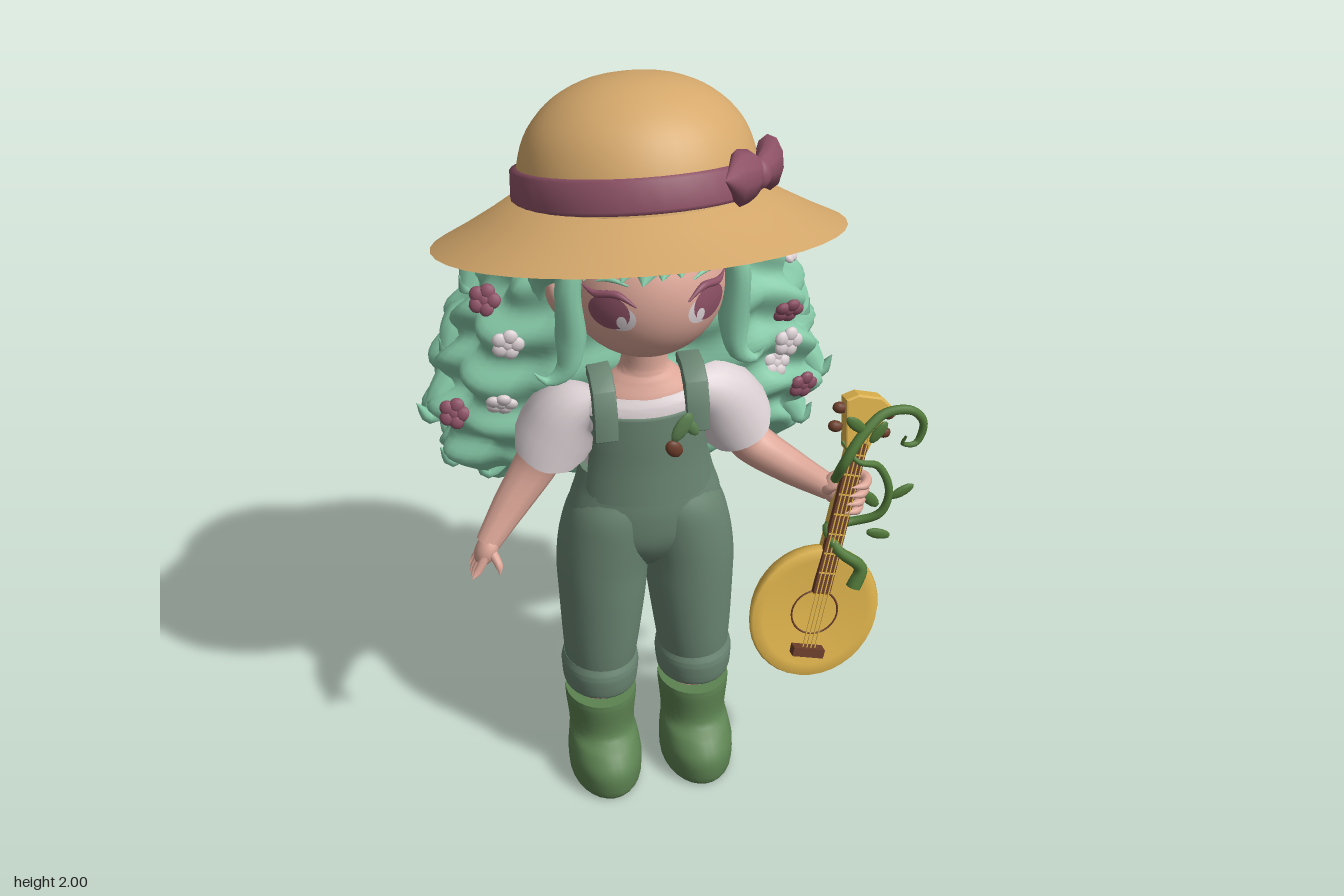
import * as THREE from 'three';
import { toCreasedNormals } from 'three/addons/utils/BufferGeometryUtils.js';

const CX = -0.08; // centre line of the figure
const V = (x, y, z) => new THREE.Vector3(x, y, z);
const V2 = p => new THREE.Vector2(...p);
const paint = (name, color, side = THREE.FrontSide) => {
  const m = new THREE.MeshStandardMaterial({ color, side });
  m.name = name;
  return m;
};

// Closed skin through rows [y, cx, cz, rx, rz], given from bottom to top
function loft(rows, sides = 28, steps = 24, warp = null, crease = 0.9) {
  const mid = new THREE.CatmullRomCurve3(rows.map(r => V(r[1], r[0], r[2])), false, 'catmullrom');
  const rad = new THREE.CatmullRomCurve3(rows.map(r => V(r[3], r[4], 0)), false, 'catmullrom');
  const pos = [], idx = [];
  for (let i = -1; i <= steps + 1; i++) {
    const t = Math.min(1, Math.max(0, i / steps)), c = mid.getPoint(t), r = rad.getPoint(t);
    if (i < 0 || i > steps) r.set(0, 0, 0);
    for (let j = 0; j < sides; j++) {
      const a = j / sides * Math.PI * 2;
      const p = V(Math.sin(a) * r.x, 0, Math.cos(a) * r.y);
      if (warp) warp(p, a, c.y, t);
      pos.push(c.x + p.x, c.y + p.y, c.z + p.z);
    }
  }
  for (let i = 0; i < steps + 2; i++) for (let j = 0; j < sides; j++) {
    const k = (j + 1) % sides, a = i * sides + j, b = i * sides + k;
    idx.push(a, b, a + sides, b, b + sides, a + sides);
  }
  const g = new THREE.BufferGeometry();
  g.setAttribute('position', new THREE.Float32BufferAttribute(pos, 3));
  g.setIndex(idx);
  g.computeVertexNormals();
  return toCreasedNormals(g, crease);
}

// Tube whose radius follows a list of values; flat scales it along z
function sweep(points, radii, flat = 1, seg = 24, sides = 10) {
  const curve = new THREE.CatmullRomCurve3(points.map(p => V(...p)));
  const g = new THREE.TubeGeometry(curve, seg, 1, sides);
  const p = g.attributes.position, n = g.attributes.normal;
  for (let i = 0; i <= seg; i++) {
    const c = curve.getPointAt(i / seg), f = i / seg * (radii.length - 1);
    const k = Math.min(radii.length - 2, Math.floor(f));
    const r = THREE.MathUtils.lerp(radii[k], radii[k + 1], f - k);
    for (let j = 0; j <= sides; j++) {
      const q = i * (sides + 1) + j;
      p.setXYZ(q, c.x + n.getX(q) * r, c.y + n.getY(q) * r, c.z + n.getZ(q) * r * flat);
    }
  }
  g.computeBoundingSphere();
  return g;
}

export function createModel() {
  const M = {
    straw: paint('straw', 0xd6a96c, THREE.DoubleSide), plum: paint('plum', 0x8e5266),
    mint: paint('mint', 0x88ccaa), skin: paint('skin', 0xdea899),
    denim: paint('sage denim', 0x698471, THREE.DoubleSide), boot: paint('boot green', 0x5d8352),
    white: paint('off white', 0xded3d6), gold: paint('gold wood', 0xddb24c),
    brown: paint('dark wood', 0x6b3d2a), vine: paint('vine green', 0x527a3a)
  };
  const root = new THREE.Group();
  const add = (name, geo, mat, parent = root) => {
    const m = new THREE.Mesh(geo, mat);
    m.name = name;
    parent.add(m);
    return m;
  };
  const ball = (name, mat, p, s, parent = root, seg = 20) => {
    const m = add(name, new THREE.SphereGeometry(1, seg, Math.ceil(seg * 0.7)), mat, parent);
    m.position.set(...p);
    m.scale.set(...s);
    return m;
  };
  const group = (name, p, parent = root) => {
    const g = new THREE.Group();
    g.name = name;
    g.position.set(...p);
    parent.add(g);
    return g;
  };

  // Head and face
  ball('head', M.skin, [CX, 1.535, 0.055], [0.2, 0.205, 0.212], root, 40);
  add('neck', loft([[1.15, CX, 0.05, 0.13, 0.098], [1.215, CX, 0.05, 0.125, 0.082],
    [1.255, CX, 0.05, 0.085, 0.066], [1.29, CX, 0.05, 0.058, 0.056], [1.4, CX, 0.06, 0.055, 0.055]]), M.skin);
  const faceZ = (x, y) => 0.055 + 0.212 * Math.sqrt(Math.max(0, 1 - ((x - CX) / 0.2) ** 2 - ((y - 1.535) / 0.205) ** 2));
  const patch = (name, mat, x, y, rx, ry, lift) => {
    const g = new THREE.RingGeometry(0, 1, 24, 5), p = g.attributes.position;
    for (let i = 0; i < p.count; i++) {
      const px = x + p.getX(i) * rx, py = y + p.getY(i) * ry;
      p.setXYZ(i, px, py, faceZ(px, py) + lift);
    }
    g.computeVertexNormals();
    add(name, g, mat);
  };
  for (const s of [-1, 1]) {
    const X = d => CX + s * d, on = (d, y) => [X(d), y, faceZ(X(d), y) + 0.004];
    ball('ear', M.skin, [X(0.205), 1.49, 0.05], [0.03, 0.058, 0.042]).rotation.z = -s * 0.25;
    patch('eyeWhite', M.white, X(0.095), 1.515, 0.034, 0.034, 0.003);
    patch('iris', M.plum, X(0.117), 1.527, 0.042, 0.044, 0.005);
    patch('eyeGlint', M.white, X(0.093), 1.508, 0.011, 0.017, 0.007);
    add('eyelash', sweep([on(0.06, 1.55), on(0.1, 1.575), on(0.145, 1.567), on(0.17, 1.575)], [0.002, 0.009, 0.009, 0.001]), M.plum);
    add('eyebrow', sweep([on(0.075, 1.598), on(0.11, 1.606), on(0.14, 1.596)], [0.002, 0.006, 0.002]), M.mint);
  }

  // Long wavy hair
  const hairRows = [[0.83, CX, -0.22, 0.35, 0.09], [0.88, CX, -0.23, 0.43, 0.16], [0.98, CX, -0.225, 0.475, 0.2],
    [1.1, CX, -0.22, 0.49, 0.23], [1.22, CX, -0.195, 0.465, 0.22], [1.35, CX, -0.16, 0.43, 0.2],
    [1.47, CX, -0.12, 0.38, 0.16], [1.58, CX, -0.1, 0.27, 0.14], [1.7, CX, -0.08, 0.18, 0.1]];
  const hair = add('longHair', loft(hairRows, 96, 64, (p, a, y, t) => {
    const boxy = 1 + (Math.cos(a) > 0 ? 0.13 : 0.02) * Math.sin(2 * a) ** 2;
    const tier = 0.05 * Math.sin(42 * y + 1.2 * Math.sin(7 * a));
    const strand = 0.08 * Math.abs(Math.sin(7 * a + 1.2 * Math.sin(6 * y))) - 0.04;
    p.multiplyScalar(boxy * (1 + tier + strand));
    p.y = (0.03 + 0.03 * Math.cos(9 * a) + 0.025 * Math.cos(a)) * (1 - t) ** 3;
  }, 1.2), M.mint);
  ball('hairCap', M.mint, [CX, 1.56, -0.02], [0.225, 0.23, 0.225], root, 32);
  for (const s of [-1, 1]) {
    const L = (name, pts, r, flat) => add(name, sweep(pts.map(([d, y, z]) => [CX + s * d, y, z]), r, flat), M.mint);
    L('sideLock', [[0.16, 1.71, 0.14], [0.2, 1.58, 0.165], [0.197, 1.43, 0.155], [0.21, 1.345, 0.15], [0.255, 1.31, 0.14], [0.285, 1.335, 0.135]],
      [0.03, 0.03, 0.031, 0.038, 0.024, 0.001], 1.25);
    L('templeLock', [[0.18, 1.7, 0.09], [0.225, 1.62, 0.1], [0.235, 1.54, 0.03], [0.25, 1.4, -0.03]], [0.02, 0.045, 0.035, 0.01]);
    // Curled tips along the outline
    for (const [x, y, dx] of [[0.37, 1.47, 0.05], [0.43, 1.3, 0.05], [0.47, 1.12, 0.08], [0.43, 0.98, 0.07], [0.34, 0.93, 0.07]])
      L('curlTip', [[x - 0.08, y + 0.1, -0.17], [x, y + 0.02, -0.15], [x + dx * 0.6, y - 0.04, -0.14], [x + dx, y, -0.14]], [0.03, 0.055, 0.035, 0.001]);
  }
  // Fringe: a close cap over the brow under broad overlapping locks
  const fringeBase = add('fringeBase', new THREE.SphereGeometry(1, 40, 12, 0, Math.PI * 2, 0, 1.13), M.mint);
  fringeBase.position.set(CX, 1.535, 0.055);
  fringeBase.scale.set(0.207, 0.212, 0.22);
  [[-0.15, -0.19, 1.56], [-0.12, -0.165, 1.585], [-0.08, -0.13, 1.605], [-0.04, -0.09, 1.605], [0, -0.045, 1.6], [0.03, 0, 1.61],
    [0.05, 0.045, 1.61], [0.08, 0.11, 1.615], [0.12, 0.16, 1.59], [0.15, 0.19, 1.55]].forEach(([a, b, y]) => {
    const at = (d, h) => [CX + d, h, faceZ(CX + d, h) + 0.008];
    add('fringe', sweep([at(a * 0.8, 1.725), at(a, 1.69), at((a + b) / 2, 1.655), at(b, y)], [0.04, 0.048, 0.048, 0.04, 0.001], 0.45), M.mint);
  });

  // Flowers set on the hair
  const flower = (mat, p, n) => {
    const g = group('flower', p);
    g.lookAt(V(...p).add(n));
    for (let i = 0; i < 5; i++) {
      const a = i * Math.PI * 0.4;
      ball('petal', mat, [Math.cos(a) * 0.022, Math.sin(a) * 0.022, 0.01], [0.02, 0.02, 0.012], g, 10);
    }
    ball('flowerCentre', mat, [0, 0, 0.012], [0.016, 0.016, 0.009], g, 8);
  };
  const ray = new THREE.Raycaster();
  for (const [x, y, m] of [[-0.45, 1.45, 'plum'], [-0.54, 1.12, 'plum'], [-0.43, 1.18, 'white'], [-0.41, 1.36, 'white'],
    [0.3, 1.35, 'plum'], [0.31, 1.46, 'white'], [0.28, 1.18, 'white'], [0.3, 1.26, 'white'], [0.36, 1.1, 'plum']]) {
    ray.set(V(x, y, 2), V(0, 0, -1));
    const hit = ray.intersectObject(hair)[0];
    flower(M[m], [x, y, hit ? hit.point.z : -0.08], hit ? hit.face.normal : V(Math.sign(x), 0, 1));
  }
  flower(M.plum, [0.12, 1.66, 0.215], V(0.5, 0, 1));
  flower(M.plum, [-0.33, 1.66, 0.13], V(-0.8, 0, 1));
  flower(M.white, [0.18, 1.61, 0.12], V(1, 0, 0.4));

  // Sun hat, tipped back
  const hat = group('sunHat', [CX, 1.72, -0.025]);
  hat.rotation.x = -0.27;
  hat.scale.z = 0.97;
  const lathe = (pts, n = 40) => new THREE.LatheGeometry(pts.map(V2), n);
  add('brim', lathe([[0.495, -0.115], [0.43, -0.083], [0.36, -0.045], [0.29, -0.003], [0.25, 0.005]]), M.straw, hat);
  const top = group('hatTop', [0, 0, 0.033], hat);
  const dome = new THREE.SplineCurve([[0.288, -0.025], [0.28, 0.07], [0.25, 0.15], [0.187, 0.215], [0.1, 0.255], [0, 0.268]].map(V2));
  add('crown', new THREE.LatheGeometry(dome.getPoints(20), 40), M.straw, top);
  add('hatBand', lathe([[0.289, -0.016], [0.3, -0.006], [0.297, 0.06], [0.278, 0.066]]), M.plum, top);
  const bow = group('bow', [0.23, 0.034, 0.168], top);
  bow.rotation.y = 1.0;
  for (const s of [-1, 1]) {
    const g = sweep([[0, 0, 0.01], [s * 0.05, 0.005, 0.02], [s * 0.11, 0.008, 0.008], [s * 0.148, 0.008, -0.01]], [0.024, 0.045, 0.06, 0.064, 0.001], 0.5);
    add('bowLoop', g, M.plum, bow);
  }
  ball('bowKnot', M.plum, [0, 0, 0.02], [0.03, 0.036, 0.028], bow);

  // Shirt and overalls
  add('shirt', loft([[0.9, CX, 0.045, 0.16, 0.105], [1.05, CX, 0.045, 0.15, 0.105], [1.13, CX, 0.045, 0.175, 0.105], [1.19, CX, 0.045, 0.175, 0.098], [1.22, CX, 0.045, 0.14, 0.085]]), M.white);
  add('waist', loft([[0.7, CX, 0.045, 0.06, 0.06], [0.74, CX, 0.042, 0.12, 0.095], [0.8, CX, 0.042, 0.195, 0.122], [0.88, CX, 0.045, 0.2, 0.125],
    [0.95, CX, 0.045, 0.18, 0.12], [1.0, CX, 0.045, 0.168, 0.116]]), M.denim);
  const bibProfile = [[0.18, 0.93], [0.172, 1.0], [0.165, 1.07], [0.168, 1.175], [0.155, 1.18]].map(V2);
  const bib = add('bib', new THREE.LatheGeometry(bibProfile, 24, -1.15, 2.3), M.denim);
  bib.scale.z = 0.7;
  bib.position.set(CX, 0, 0.045);
  // Shoulder straps, arched bands in side profile (z, y)
  const arch = [[0.152, 1.13], [0.148, 1.19], [0.125, 1.25], [0.08, 1.28], [0.03, 1.282], [-0.02, 1.25], [-0.055, 1.18], [-0.085, 0.97]];
  const strapShape = new THREE.Shape([...arch, ...arch.map(([z, y]) => [0.045 + (z - 0.045) * 0.75, y - 0.02]).reverse()].map(V2));
  for (const s of [-1, 1]) {
    const X = d => CX + s * d;
    const strap = new THREE.ExtrudeGeometry(strapShape, { depth: 0.05, bevelSize: 0.004, bevelThickness: 0.004, bevelSegments: 2 });
    add('strap', toCreasedNormals(strap.translate(0, 0, -0.025).rotateY(-Math.PI / 2), 0.7), M.denim).position.x = X(0.115);
    add('trouserLeg', loft([[0.36, X(0.13), 0.05, 0.092, 0.1], [0.45, X(0.126), 0.052, 0.102, 0.108], [0.6, X(0.119), 0.05, 0.115, 0.117],
      [0.7, X(0.115), 0.045, 0.121, 0.124], [0.8, X(0.1), 0.042, 0.124, 0.129], [0.88, X(0.085), 0.045, 0.115, 0.122], [0.94, X(0.06), 0.045, 0.105, 0.1]]), M.denim);
    add('cuff', loft([[0.3, X(0.13), 0.05, 0.09, 0.1], [0.315, X(0.13), 0.05, 0.1, 0.111], [0.37, X(0.13), 0.05, 0.104, 0.115], [0.4, X(0.13), 0.05, 0.096, 0.104]]), M.denim);
    add('ankle', new THREE.CylinderGeometry(0.07, 0.07, 0.1, 20), M.skin).position.set(X(0.13), 0.29, 0.05);
    add('boot', loft([[0, X(0.13), 0.09, 0.09, 0.135], [0.02, X(0.13), 0.09, 0.098, 0.145], [0.08, X(0.13), 0.09, 0.1, 0.145], [0.125, X(0.13), 0.075, 0.094, 0.125],
      [0.16, X(0.13), 0.052, 0.089, 0.104], [0.25, X(0.13), 0.05, 0.097, 0.107], [0.272, X(0.13), 0.05, 0.096, 0.106]]), M.boot);
    // Puff sleeve from shoulder to gathered hem
    add('puffSleeve', sweep([[X(0.12), 1.19, 0.04], [X(0.18), 1.17, 0.04], [X(0.225), 1.1, 0.04], [X(0.262), 1.01, 0.04], [X(0.267), 0.995, 0.04]],
      [0.03, 0.075, 0.095, 0.102, 0.098, 0.08, 0.02], 1, 24, 20), M.white);
  }
  // Leaf sprig on the bib
  const leaf = (mat, p, size, tilt) => { ball('leaf', mat, p, [size * 0.45, size, size * 0.2], root, 10).rotation.z = tilt; };
  leaf(M.boot, [-0.01, 1.15, 0.165], 0.045, -0.5);
  leaf(M.boot, [0.01, 1.15, 0.162], 0.035, 0.6);
  ball('sprigStem', M.brown, [-0.03, 1.09, 0.165], [0.02, 0.026, 0.012]).rotation.z = 0.6;

  // Free arm and hand
  add('rightArm', sweep([[-0.31, 1.1, 0.04], [-0.36, 1.0, 0.03], [-0.43, 0.9, 0.045], [-0.495, 0.81, 0.07]], [0.06, 0.056, 0.046, 0.032]), M.skin);
  ball('rightPalm', M.skin, [-0.5, 0.795, 0.075], [0.028, 0.046, 0.036]).rotation.z = -0.5;
  for (let i = 0; i < 4; i++)
    add('finger', sweep([[-0.505, 0.79, 0.05 + i * 0.016], [-0.53, 0.75, 0.045 + i * 0.021], [-0.545, 0.722 + Math.abs(i - 1.5) * 0.008, 0.045 + i * 0.023]], [0.013, 0.012, 0.011, 0.001], 1, 12, 8), M.skin);
  add('thumb', sweep([[-0.49, 0.8, 0.09], [-0.475, 0.77, 0.12], [-0.475, 0.745, 0.125]], [0.014, 0.012, 0.01, 0.001], 1, 12, 8), M.skin);

  // Holding arm and hand
  add('leftArm', sweep([[0.15, 1.1, 0.04], [0.2, 1.0, 0.03], [0.29, 0.945, 0.09], [0.38, 0.915, 0.175]], [0.06, 0.056, 0.046, 0.032]), M.skin);
  ball('leftPalm', M.skin, [0.4, 0.918, 0.175], [0.045, 0.05, 0.03]);
  for (let i = 0; i < 4; i++) {
    const y = 0.878 + i * 0.025, x = 0.395 + i * 0.006;
    add('finger', sweep([[x + 0.03, y, 0.17], [x + 0.05, y, 0.2], [x + 0.035, y, 0.232], [x, y, 0.237]], [0.014, 0.014, 0.013, 0.001], 1, 14, 8), M.skin);
  }
  add('thumb', sweep([[0.365, 0.92, 0.185], [0.36, 0.94, 0.215], [0.375, 0.955, 0.235]], [0.014, 0.013, 0.001], 1, 12, 8), M.skin);

  // Round stringed instrument
  const lute = group('instrument', [0.32, 0.6, 0.27]);
  lute.rotation.set(-0.19, 0, -0.25);
  const bowl = lathe([[0, -0.112], [0.07, -0.102], [0.13, -0.075], [0.163, -0.035], [0.174, 0], [0.168, 0.014], [0.14, 0.012], [0.07, 0.004], [0, 0.002]], 36);
  add('soundBody', bowl.rotateX(Math.PI / 2).scale(1, 1.08, 1), M.gold, lute);
  add('soundHole', new THREE.TorusGeometry(0.062, 0.0025, 6, 32), M.brown, lute).position.z = 0.006;
  const box = (name, mat, p, s) => add(name, new THREE.BoxGeometry(...s), mat, lute).position.set(...p);
  box('neck', M.gold, [0, 0.3, -0.008], [0.042, 0.42, 0.03]);
  box('fingerboard', M.brown, [0, 0.27, 0.014], [0.046, 0.42, 0.016]);
  box('bridge', M.brown, [0, -0.105, 0.022], [0.085, 0.024, 0.03]);
  for (let i = 0; i < 4; i++) box('string', M.gold, [-0.0165 + i * 0.011, 0.2, 0.027], [0.003, 0.61, 0.003]);
  for (let i = 0; i < 7; i++) box('fret', M.gold, [0, 0.12 + i * 0.055, 0.0225], [0.044, 0.004, 0.004]);
  const headShape = new THREE.Shape([[-0.025, 0.46], [0.025, 0.46], [0.055, 0.585], [0.03, 0.6], [-0.03, 0.6], [-0.055, 0.585]].map(V2));
  add('pegHead', new THREE.ExtrudeGeometry(headShape, { depth: 0.035, bevelSize: 0.005, bevelThickness: 0.005, bevelSegments: 2 }), M.gold, lute).position.z = -0.025;
  for (const s of [-1, 1]) for (const y of [0.51, 0.56]) ball('peg', M.brown, [s * 0.065, y, -0.005], [0.02, 0.015, 0.014], lute, 10);

  // Vines curling round the neck
  add('upperVine', sweep([[0.38, 0.96, 0.2], [0.39, 1.03, 0.235], [0.44, 1.1, 0.22], [0.5, 1.14, 0.2], [0.57, 1.14, 0.2], [0.605, 1.1, 0.2], [0.59, 1.04, 0.2], [0.55, 1.05, 0.21], [0.555, 1.08, 0.22]],
    [0.012, 0.014, 0.013, 0.012, 0.01, 0.003], 1, 48), M.vine);
  add('lowerVine', sweep([[0.42, 0.67, 0.28], [0.44, 0.72, 0.27], [0.38, 0.78, 0.26], [0.36, 0.83, 0.22], [0.42, 0.82, 0.2], [0.5, 0.85, 0.22], [0.52, 0.92, 0.22], [0.49, 0.99, 0.21], [0.43, 1.02, 0.22], [0.4, 1.06, 0.18]],
    [0.02, 0.014, 0.012, 0.011, 0.01, 0.004], 1, 56), M.vine);
  for (const [x, y, t] of [[0.5, 0.785, 1.2], [0.555, 0.91, -1.1], [0.47, 0.9, 0.7], [0.48, 1.1, -0.6], [0.42, 1.13, 0.8]]) leaf(M.vine, [x, y, 0.22], 0.035, t);
  return root;
}
